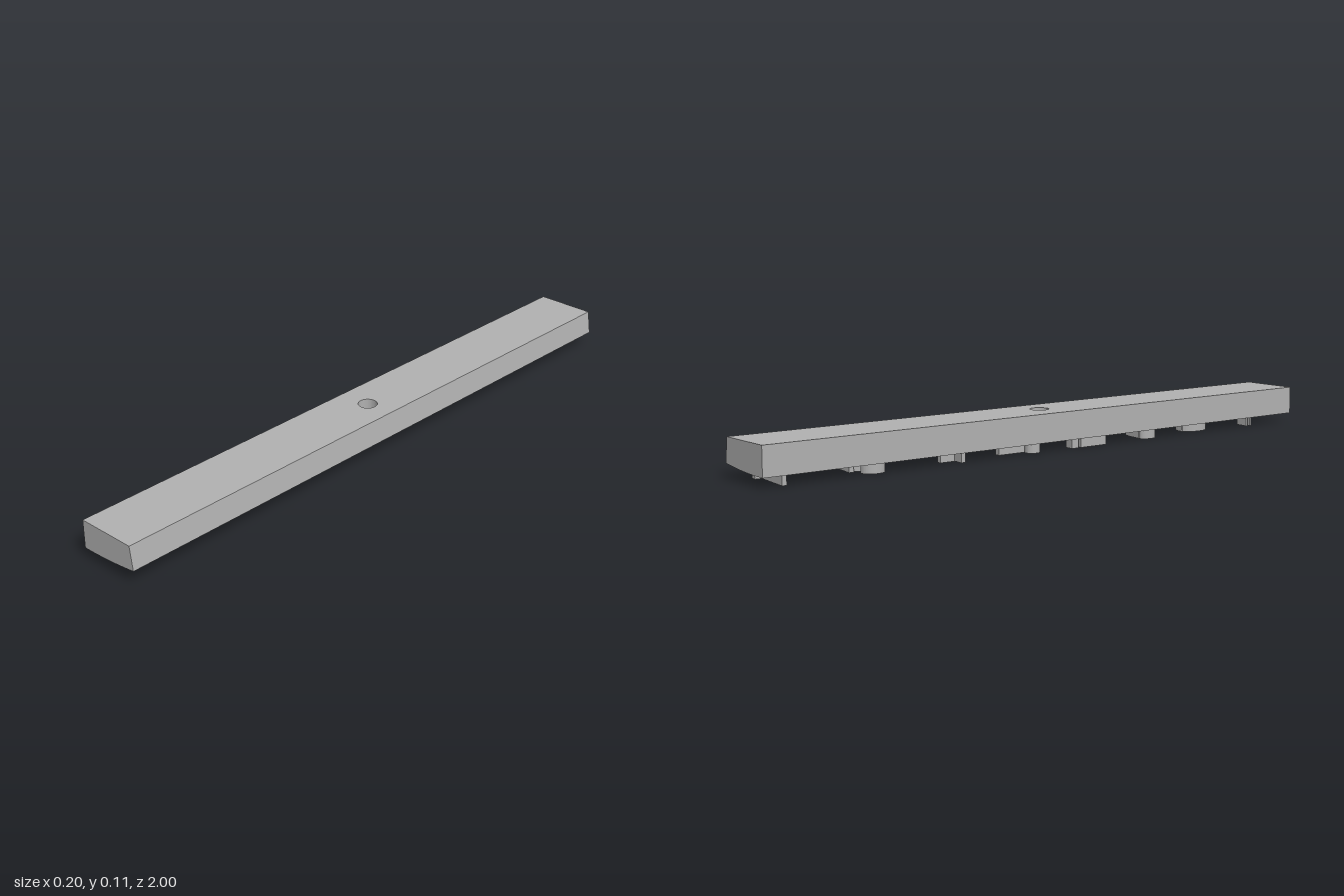
import * as THREE from 'three';

const TOP = 0.115, PAD = 0.028, MID = 0.06;

// Height of the gently curved underside at a given x
const under = (x) => 0.028 + 0.35 * (x + 0.1) ** 2;

// Extrude a plan outline (x, -z) upright, then bend its lower and upper ends
function planSolid(shape, lower, upper, curveSegments = 24) {
  const g = new THREE.ExtrudeGeometry(shape, { depth: 1, bevelEnabled: false, curveSegments });
  g.rotateX(-Math.PI / 2);
  const p = g.attributes.position;
  for (let i = 0; i < p.count; i++) {
    const x = p.getX(i), high = p.getY(i) > 0.5;
    p.setY(i, high ? upper(x) : lower(x));
    if (high && x > 0.09) p.setX(i, 0.09);
  }
  g.computeVertexNormals();
  return g;
}

const ellipse = (C, x, z, rx, rz) => new C().absellipse(x, -z, rx, rz, 0, Math.PI * 2);

function rect(x0, x1, z0, z1) {
  const s = new THREE.Shape();
  s.moveTo(x0, -z0).lineTo(x0, -z1).lineTo(x1, -z1).lineTo(x1, -z0).closePath();
  return s;
}

function ring(x, z, rx, rz, wall) {
  const s = ellipse(THREE.Shape, x, z, rx, rz);
  s.holes.push(ellipse(THREE.Path, x, z, rx - wall, rz - wall));
  return s;
}

export function createModel() {
  const model = new THREE.Group();
  const grey = new THREE.MeshStandardMaterial({ color: 0xb0b0b0 });
  grey.name = 'plain grey';
  const add = (name, geometry) => {
    const m = new THREE.Mesh(geometry, grey);
    m.name = name;
    model.add(m);
    return m;
  };

  // Long ends of the bar: cross-section with a curved underside
  const section = new THREE.Shape();
  section.moveTo(-0.1, TOP);
  const N = 16;
  for (let i = 0; i <= N; i++) {
    const x = -0.1 + 0.2 * i / N;
    section.lineTo(x, under(x));
  }
  section.lineTo(0.09, TOP).closePath();
  for (const [name, z] of [['barFront', MID], ['barBack', -1]]) {
    const g = new THREE.ExtrudeGeometry(section, { depth: 1 - MID, bevelEnabled: false });
    add(name, g.translate(0, 0, z));
  }

  // Middle of the bar, pierced by a round hole
  const middle = new THREE.Shape();
  middle.moveTo(-0.1, -MID);
  for (let i = 1; i <= N; i++) middle.lineTo(-0.1 + 0.2 * i / N, -MID);
  for (let i = N; i >= 0; i--) middle.lineTo(-0.1 + 0.2 * i / N, MID);
  middle.closePath();
  middle.holes.push(ellipse(THREE.Path, 0, 0, 0.029, 0.029));
  add('barMiddle', planSolid(middle, under, () => TOP));

  // Raised pads that follow the underside
  const pad = (name, shape) => add(name, planSolid(shape, (x) => under(x) - PAD, (x) => under(x) + 0.002));

  // Straight ribs: x0, x1, z0, z1
  const ribs = [
    [0.015, 0.03, -0.96, -0.925], [-0.095, 0.03, -0.94, -0.926],
    [0.012, 0.027, -0.7, -0.605], [-0.04, 0.02, -0.7, -0.685],
    [-0.062, -0.047, -0.41, -0.345], [-0.095, -0.05, -0.36, -0.346],
    [-0.06, -0.045, -0.2, -0.062],
    [-0.095, -0.066, 0.05, 0.075],
    [-0.095, -0.08, 0.085, 0.185],
    [-0.02, -0.006, 0.345, 0.435], [-0.07, -0.02, 0.342, 0.356],
    [-0.05, -0.036, 0.545, 0.655],
    [-0.09, -0.05, 0.8, 0.808], [-0.09, -0.05, 0.817, 0.825],
  ];
  for (const r of ribs) pad('undersideRib', rect(...r));

  // Oval rings: x, z, x radius, z radius, wall
  const rings = [
    [-0.012, -0.645, 0.03, 0.042, 0.013],
    [-0.066, -0.64, 0.028, 0.036, 0.013],
    [-0.073, -0.085, 0.021, 0.024, 0.01],
    [-0.038, 0.39, 0.026, 0.045, 0.013],
    [-0.076, 0.372, 0.018, 0.03, 0.01],
    [-0.034, 0.602, 0.04, 0.056, 0.014],
  ];
  for (const r of rings) pad('undersideRing', ring(...r));

  return model;
}
